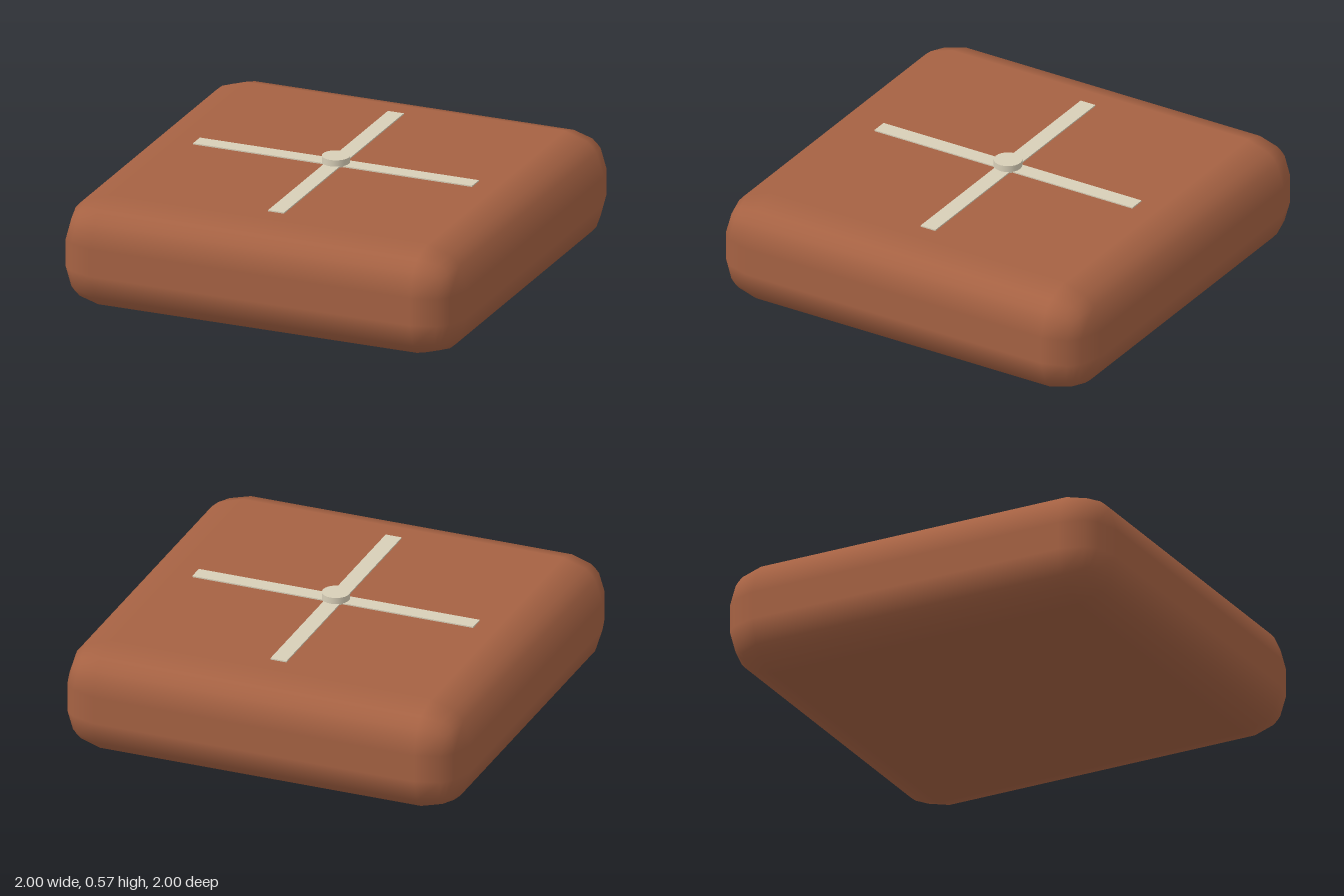
import * as THREE from 'three';

// Smooth rounded slab: a gridded cube whose outer cells bend round the edges
function roundedSlab(w, h, d, r) {
  const geo = new THREE.BoxGeometry(5, 5, 5, 5, 5, 5);
  const pos = geo.attributes.position, nor = geo.attributes.normal;
  const inner = new THREE.Vector3(w / 2 - r, h / 2 - r, d / 2 - r);
  const p = new THREE.Vector3(), dir = new THREE.Vector3();
  const bend = (t) => Math.sign(t) * Math.sqrt(Math.max(0, Math.round(Math.abs(t) - 0.5) / 2));
  for (let i = 0; i < pos.count; i++) {
    p.fromBufferAttribute(pos, i);
    dir.set(bend(p.x), bend(p.y), bend(p.z)).normalize();
    pos.setXYZ(i,
      Math.sign(p.x) * inner.x + dir.x * r,
      Math.sign(p.y) * inner.y + dir.y * r,
      Math.sign(p.z) * inner.z + dir.z * r);
    nor.setXYZ(i, dir.x, dir.y, dir.z);
  }
  return geo;
}

export function createModel() {
  const group = new THREE.Group();
  const bodyMat = new THREE.MeshStandardMaterial({ color: 0xa66243 });
  const trimMat = new THREE.MeshStandardMaterial({ color: 0xd8cfb8 });

  const add = (name, geo, mat, y) => {
    const mesh = new THREE.Mesh(geo, mat);
    mesh.name = name;
    mesh.position.y = y;
    group.add(mesh);
    return mesh;
  };

  // Cushion body
  const height = 0.534;
  add('body', roundedSlab(2, height, 2, 0.2), bodyMat, height / 2);

  // Crossed strips lying on the top
  add('stripAcross', new THREE.BoxGeometry(1.4, 0.012, 0.08), trimMat, 0.534);
  add('stripLengthwise', new THREE.BoxGeometry(0.08, 0.012, 1.4), trimMat, 0.534);

  // Centre button
  add('button', new THREE.CylinderGeometry(0.066, 0.066, 0.036, 24), trimMat, 0.553);

  return group;
}
